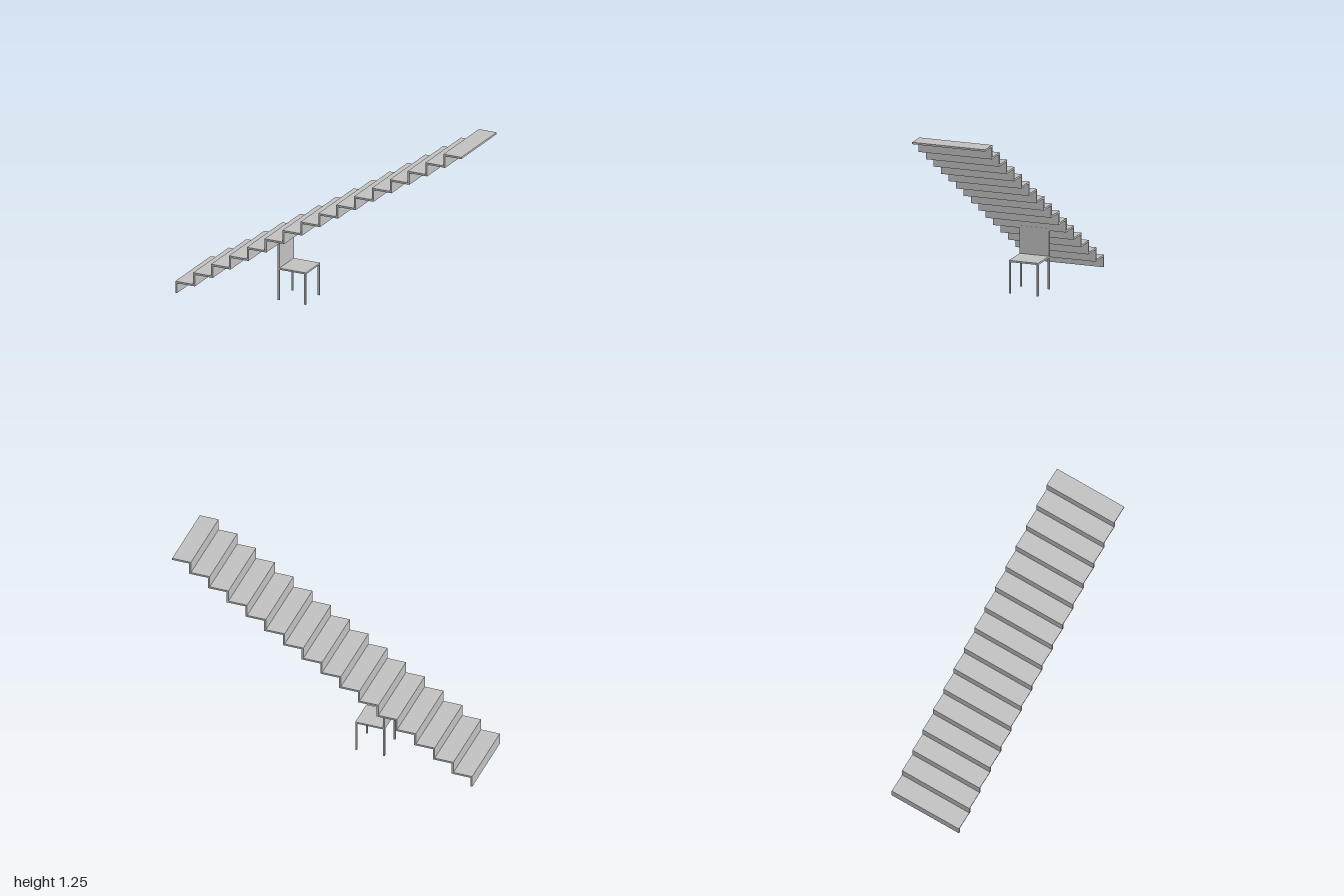
import * as THREE from 'three';

export function createModel() {
  const model = new THREE.Group();
  const grey = new THREE.MeshStandardMaterial({ color: 0xc0c0c0 });
  grey.name = 'light grey';

  // Box given by its minimum and maximum corners
  function box(parent, name, [x0, y0, z0], [x1, y1, z1]) {
    const mesh = new THREE.Mesh(new THREE.BoxGeometry(x1 - x0, y1 - y0, z1 - z0), grey);
    mesh.position.set((x0 + x1) / 2, (y0 + y1) / 2, (z0 + z1) / 2);
    mesh.name = name;
    parent.add(mesh);
  }

  // Staircase: thin risers and treads climbing towards +x
  const stairs = new THREE.Group();
  stairs.name = 'staircase';
  model.add(stairs);
  const steps = 16, run = 0.125, rise = 1.25 / steps, t = 0.012, half = 0.245;
  for (let i = 0; i < steps; i++) {
    const x = -1 + i * run, top = (i + 1) * rise;
    box(stairs, 'riser', [x, i * rise, -half], [x + t, top - t, half]);
    box(stairs, 'tread', [x, top - t, -half], [Math.min(x + run + t, 1), top, half]);
  }

  // Chair under the stairs, its back against a riser
  const chair = new THREE.Group();
  chair.name = 'chair';
  model.add(chair);
  const back = -0.374, front = -0.178, near = 0.066, far = -0.132;
  const seatBottom = 0.203, seatTop = 0.214, leg = 0.011;
  box(chair, 'seat', [back, seatBottom, far], [front, seatTop, near]);
  box(chair, 'backrest', [back, seatTop, far], [back + t, 0.393, near]);
  for (const x of [back, front - leg]) {
    for (const z of [far, near - leg]) {
      box(chair, 'leg', [x, 0, z], [x + leg, seatBottom, z + leg]);
    }
  }
  return model;
}
